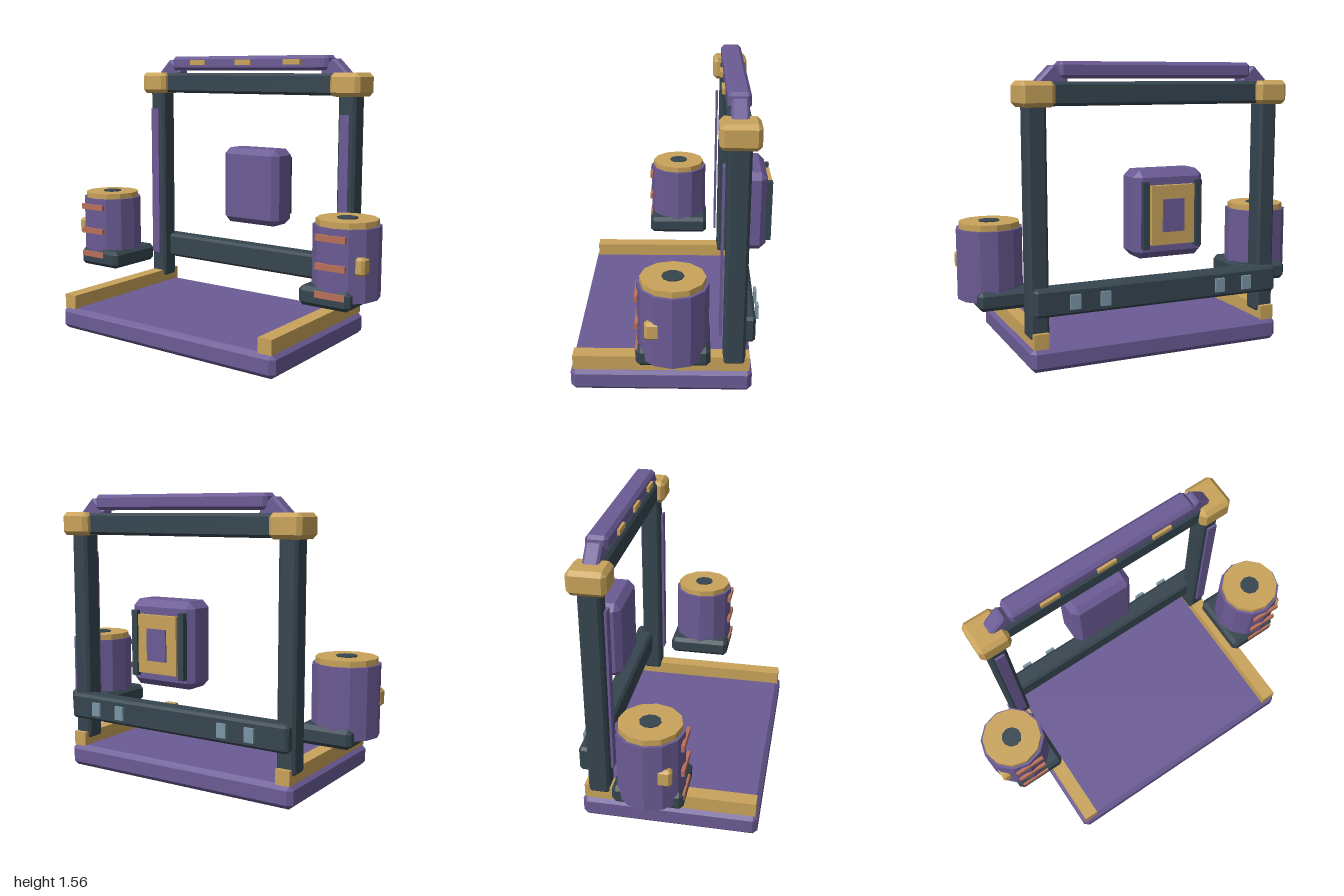
import * as THREE from 'three';
import { ConvexGeometry } from 'three/addons/geometries/ConvexGeometry.js';

function material(name, color) {
  const m = new THREE.MeshStandardMaterial({ color, flatShading: true });
  m.name = name;
  return m;
}

// Box with every edge cut at 45 degrees
function chamferBox(w, h, d, c) {
  const points = [];
  for (const x of [-1, 1]) for (const y of [-1, 1]) for (const z of [-1, 1]) {
    const X = w / 2, Y = h / 2, Z = d / 2;
    points.push(
      new THREE.Vector3(x * X, y * (Y - c), z * (Z - c)),
      new THREE.Vector3(x * (X - c), y * Y, z * (Z - c)),
      new THREE.Vector3(x * (X - c), y * (Y - c), z * Z));
  }
  return new ConvexGeometry(points);
}

export function createModel() {
  const purple = material('purple', 0x6b5b95);
  const gold = material('gold', 0xc9a35a);
  const dark = material('charcoal', 0x36454f);
  const copper = material('copper', 0xb87058);
  const blue = material('greyBlue', 0x7a96a6);

  const model = new THREE.Group();
  model.name = 'gantryMachine';

  const add = (name, geometry, mat, x, y, z, parent = model) => {
    const mesh = new THREE.Mesh(geometry, mat);
    mesh.name = name;
    mesh.position.set(x, y, z);
    parent.add(mesh);
    return mesh;
  };
  // Box given by its min and max on each axis, with an optional chamfer
  const box = (name, mat, [x0, x1], [y0, y1], [z0, z1], c = 0, parent = model) => {
    const size = [x1 - x0, y1 - y0, z1 - z0];
    const geometry = c ? chamferBox(...size, c) : new THREE.BoxGeometry(...size);
    return add(name, geometry, mat, (x0 + x1) / 2, (y0 + y1) / 2, (z0 + z1) / 2, parent);
  };
  const around = (centre, size) => [centre - size / 2, centre + size / 2];

  // Base and cross beams
  box('base', purple, [-0.725, 0.725], [0, 0.125], [-0.408, 0.538], 0.025);
  box('topBeam', dark, [-0.62, 0.62], [1.34, 1.46], [-0.37, -0.255], 0.015);
  box('lowerBeam', dark, [-0.705, 0.705], [0.288, 0.432], [-0.418, -0.31], 0.015);

  // Top bar with indicator lights
  box('topBar', purple, [-0.545, 0.545], [1.475, 1.56], [-0.37, -0.255], 0.018);
  for (const x of [-0.33, 0, 0.33])
    box('topBarLight', gold, around(x, 0.11), [1.508, 1.538], [-0.249, -0.234]);

  // Central control box and its rear panel
  box('controlBox', purple, [-0.195, 0.195], [0.56, 1.015], [-0.5, -0.305], 0.036);
  box('rearPanel', gold, [-0.12, 0.12], [0.635, 0.94], [-0.53, -0.495]);
  box('rearScreen', purple, [-0.06, 0.06], [0.702, 0.87], [-0.538, -0.525]);

  for (const s of [-1, 1]) {
    const side = new THREE.Group();
    side.name = s > 0 ? 'leftSide' : 'rightSide';
    model.add(side);

    // Rail, post and corner block
    box('rail', gold, around(s * 0.667, 0.08), [0.12, 0.2], [-0.395, 0.525], 0, side);
    box('post', dark, around(s * 0.667, 0.105), [0.162, 1.4], [-0.37, -0.255], 0.015, side);
    box('postStrip', purple, around(s * 0.667, 0.056), [0.32, 1.24], [-0.246, -0.233], 0, side);
    box('cornerBlock', gold, around(s * 0.667, 0.18), [1.336, 1.464], [-0.413, -0.213], 0.022, side);

    // Tilted bracket at the end of the top bar
    const bracket = add('barBracket', chamferBox(0.14, 0.12, 0.084, 0.012), purple,
      s * 0.58, 1.457, -0.313, side);
    bracket.rotation.z = -s * Math.PI / 4;

    // Rear panel grip and lower beam lights
    box('panelGrip', dark, around(s * 0.147, 0.034), [0.615, 0.96], [-0.528, -0.49], 0, side);
    for (const x of [0.335, 0.5])
      box('beamLight', blue, around(s * x, 0.055), [0.325, 0.4], [-0.445, -0.43], 0, side);

    // Drum on its tray
    const drum = new THREE.Group();
    drum.name = 'drumUnit';
    drum.position.set(s * 0.823, 0, 0);
    side.add(drum);
    box('tray', dark, around(-s * 0.04, 0.295), [0.285, 0.388], [-0.185, 0.18], 0.022, drum);
    add('drum', new THREE.CylinderGeometry(0.177, 0.177, 0.375, 12), purple, 0, 0.5125, 0, drum);
    add('drumLid', new THREE.CylinderGeometry(0.162, 0.162, 0.035, 12), gold, 0, 0.714, 0, drum);
    add('drumCap', new THREE.CylinderGeometry(0.055, 0.055, 0.02, 10), dark, 0, 0.727, 0, drum);
    for (const y of [0.357, 0.503, 0.65])
      box('drumStripe', copper, [-0.085, 0.085], around(y, 0.033), [0.167, 0.184], 0, drum);
    box('drumKnob', gold, around(s * 0.134, 0.056), [0.467, 0.562], [0.055, 0.133], 0.014, drum);
  }
  return model;
}
